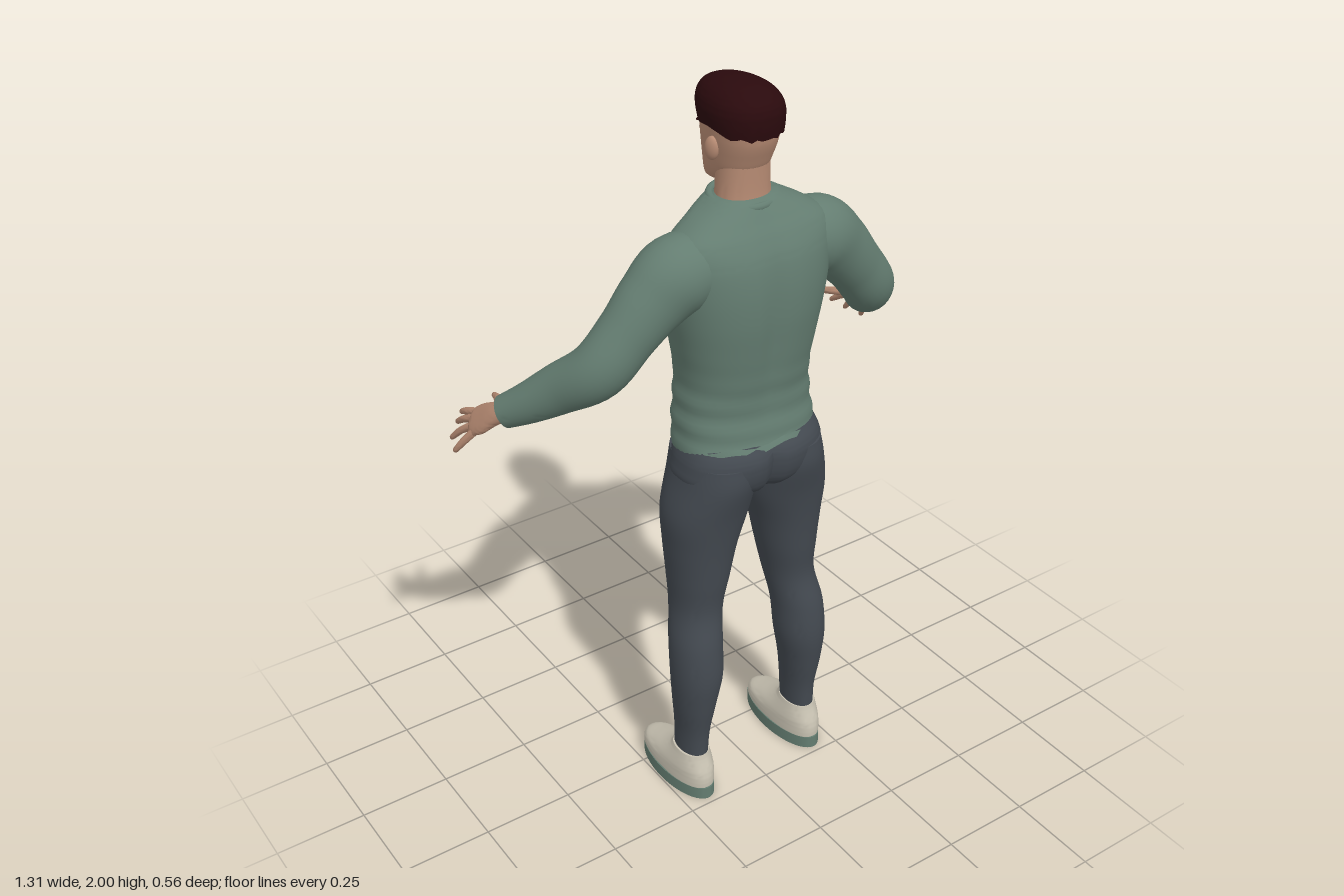
import * as THREE from 'three';
import { toCreasedNormals } from 'three/addons/utils/BufferGeometryUtils.js';

const mat = (name, color) => Object.assign(new THREE.MeshStandardMaterial({ color }), { name });
const bell = (v, w) => Math.exp(-((v / w) ** 2));

// Smooth interpolation through rows of numbers, t from 0 to 1
function sample(rows, t) {
  const f = t * (rows.length - 1), i = Math.min(Math.floor(f), rows.length - 2), u = f - i;
  const at = k => rows[Math.max(0, Math.min(rows.length - 1, k))];
  return rows[i].map((b, k) => {
    const a = at(i - 1)[k], c = at(i + 1)[k], d = at(i + 2)[k];
    return b + 0.5 * u * (c - a + u * (2 * a - 5 * b + 4 * c - d + u * (3 * (b - c) + d - a)));
  });
}

// Closed skin over a list of rings, with flat caps
function skin(rings) {
  const n = rings[0].length, m = rings.length, pos = [], idx = [];
  rings.forEach(r => r.forEach(p => pos.push(p.x, p.y, p.z)));
  for (let j = 0; j < m - 1; j++) for (let i = 0; i < n; i++) {
    const a = j * n + i, b = j * n + (i + 1) % n;
    idx.push(a, a + n, b, b, a + n, b + n);
  }
  [0, m - 1].forEach((j, end) => {
    const c = rings[j].reduce((s, p) => s.add(p), new THREE.Vector3()).divideScalar(n);
    pos.push(c.x, c.y, c.z);
    for (let i = 0; i < n; i++) {
      const a = j * n + i, b = j * n + (i + 1) % n;
      idx.push(m * n + end, end ? b : a, end ? a : b);
    }
  });
  const g = new THREE.BufferGeometry();
  g.setAttribute('position', new THREE.Float32BufferAttribute(pos, 3));
  g.setIndex(idx);
  return toCreasedNormals(g, 1.0);
}

// Upright form from rows of [y, centre x, front z, back z, half width]
function stack(rows, { p = 2.2, n = 40, steps = 6, bend } = {}) {
  const rings = [], m = (rows.length - 1) * steps;
  for (let j = 0; j <= m; j++) {
    const [y, cx, zf, zb, rx] = sample(rows, j / m), ring = [];
    for (let i = 0; i < n; i++) {
      const a = i / n * Math.PI * 2, c = Math.cos(a), s = Math.sin(a);
      const v = new THREE.Vector3(cx + rx * Math.sign(c) * Math.abs(c) ** (2 / p), y,
        (zf + zb) / 2 + (zb - zf) / 2 * Math.sign(s) * Math.abs(s) ** (2 / p));
      if (bend) bend(v, s, j / m);
      ring.push(v);
    }
    rings.push(ring);
  }
  return skin(rings);
}

// Limb along rows of [x, y, z, radius along ref, other radius]
function limb(rows, side, ref, n = 20, steps = 6) {
  const rings = [], m = (rows.length - 1) * steps, R = new THREE.Vector3(ref[0] * side, ref[1], ref[2]);
  const point = t => { const q = sample(rows, t); return new THREE.Vector3(q[0] * side, q[1], q[2]); };
  for (let j = 0; j <= m; j++) {
    const t = j / m, q = sample(rows, t), c = point(t);
    const T = point(Math.min(1, t + 0.01)).sub(point(Math.max(0, t - 0.01))).normalize();
    const U = R.clone().addScaledVector(T, -R.dot(T)).normalize(), V = U.clone().cross(T);
    rings.push(Array.from({ length: n }, (_, i) => {
      const a = i / n * Math.PI * 2;
      return c.clone().addScaledVector(U, Math.cos(a) * q[3]).addScaledVector(V, Math.sin(a) * q[4]);
    }));
  }
  return skin(rings);
}

export function createModel() {
  const model = new THREE.Group();
  const green = mat('sageGreen', 0x647d71), slate = mat('slateTrousers', 0x434950), skinTone = mat('skin', 0xb88c74),
    hairCol = mat('darkHair', 0x2a0a0d), cream = mat('creamShoe', 0xc8c2b2), white = mat('eyeWhite', 0xd8d0c8),
    dark = mat('iris', 0x2b211e), lipCol = mat('lips', 0xa06f60);
  const add = (name, geo, m, parent = model) => {
    const o = new THREE.Mesh(geo, m);
    o.name = name;
    parent.add(o);
    return o;
  };
  const blob = (name, m, parent, x, y, z, sx, sy, sz) => {
    const o = add(name, new THREE.SphereGeometry(1, 20, 14), m, parent);
    o.position.set(x, y, z);
    o.scale.set(sx, sy, sz);
    return o;
  };

  // Sweater body with chest, spine groove and folds at the waist
  add('sweaterBody', stack([
    [1.083, 0, -0.008, 0.258, 0.192], [1.12, 0, -0.014, 0.246, 0.19], [1.2, 0, -0.015, 0.236, 0.182],
    [1.28, 0, -0.018, 0.245, 0.178], [1.37, 0, -0.022, 0.258, 0.192], [1.45, 0, -0.027, 0.267, 0.207],
    [1.53, 0, -0.015, 0.267, 0.218], [1.6, 0, 0.012, 0.256, 0.222], [1.65, 0, 0.035, 0.234, 0.212],
    [1.685, 0, 0.04, 0.21, 0.165], [1.71, 0, 0.035, 0.192, 0.118], [1.728, 0, 0.04, 0.178, 0.085]], {
    n: 56, p: 2.35, bend: (v, s) => {
      if (s > 0) v.z -= 0.014 * bell(v.x, 0.028) * bell(v.y - 1.45, 0.22);
      else v.z -= 0.01 * bell(Math.abs(v.x) - 0.085, 0.055) * bell(v.y - 1.46, 0.07);
      const fold = 1 + 0.016 * Math.sin(v.y * 95 + v.x * 9) * bell(v.y - 1.17, 0.1);
      v.x *= fold;
      v.z = 0.115 + (v.z - 0.115) * fold;
      if (v.y < 1.1) v.y += 0.006 * Math.sin(v.x * 40) + (s > 0 ? 0.012 * s : 0);
    } }), green);
  const collar = add('collar', new THREE.TorusGeometry(0.08, 0.011, 10, 36), green);
  collar.rotation.x = Math.PI / 2 + 0.1;
  collar.scale.set(1, 0.92, 1);
  collar.position.set(0, 1.718, 0.108);

  // Hips with a cleft at the back
  add('hips', stack([
    [0.935, 0, 0.07, 0.19, 0.025], [0.965, 0, 0.025, 0.24, 0.11], [1.0, 0, 0.002, 0.264, 0.2],
    [1.05, 0, 0, 0.274, 0.202], [1.085, 0, 0.001, 0.266, 0.193], [1.12, 0, 0.005, 0.235, 0.18]], {
    p: 2.4, n: 56, bend: (v, s) => { if (s > 0) v.z -= 0.022 * bell(v.x, 0.022); } }), slate);

  for (const s of [1, -1]) {
    const part = n => (s > 0 ? 'left' : 'right') + n;
    // Leg
    add(part('TrouserLeg'), stack([
      [0.1, 0.183, 0.085, 0.202, 0.038], [0.2, 0.18, 0.085, 0.206, 0.041], [0.3, 0.178, 0.085, 0.223, 0.054],
      [0.4, 0.172, 0.08, 0.235, 0.067], [0.5, 0.167, 0.068, 0.226, 0.068], [0.6, 0.151, 0.044, 0.204, 0.067],
      [0.7, 0.142, 0.03, 0.213, 0.08], [0.8, 0.135, 0.02, 0.224, 0.095], [0.9, 0.123, 0.011, 0.241, 0.112],
      [1.0, 0.106, 0.003, 0.265, 0.104], [1.06, 0.1, 0.003, 0.262, 0.097]]
      .map(r => [r[0], r[1] * s, ...r.slice(2)]), { p: 2.1 }), slate);

    // Shoe with a sole rim open underneath
    const shoe = new THREE.Group();
    shoe.name = part('Shoe');
    shoe.position.x = 0.183 * s;
    model.add(shoe);
    add('shoeUpper', stack([
      [0.01, 0, -0.06, 0.222, 0.056], [0.036, 0, -0.067, 0.228, 0.06], [0.06, 0, -0.058, 0.228, 0.06],
      [0.08, 0, -0.01, 0.224, 0.058], [0.1, 0, 0.038, 0.216, 0.053], [0.12, 0, 0.074, 0.208, 0.047],
      [0.135, 0, 0.086, 0.204, 0.043]], { steps: 4 }), cream, shoe);
    const outline = new THREE.Shape().absellipse(0, 0, 0.063, 0.151, 0, Math.PI * 2);
    outline.holes.push(new THREE.Path().absellipse(0, 0, 0.046, 0.13, 0, Math.PI * 2, true));
    const sole = add('soleRim', toCreasedNormals(
      new THREE.ExtrudeGeometry(outline, { depth: 0.037, bevelEnabled: false, curveSegments: 36 }), 0.7), green, shoe);
    sole.rotation.x = -Math.PI / 2;
    sole.position.z = 0.081;

    // Sleeve
    add(part('Sleeve'), limb([
      [0.1, 1.585, 0.14, 0.08, 0.08], [0.2, 1.575, 0.135, 0.092, 0.098], [0.27, 1.525, 0.13, 0.078, 0.088],
      [0.335, 1.455, 0.122, 0.07, 0.076], [0.405, 1.37, 0.1, 0.069, 0.073], [0.465, 1.305, 0.025, 0.06, 0.064],
      [0.52, 1.255, -0.035, 0.05, 0.052], [0.563, 1.22, -0.085, 0.042, 0.042]], s, [0, 0.25, 1], 28), green);

    // Hand with fanned fingers
    const hand = new THREE.Group();
    hand.name = part('Hand');
    model.add(hand);
    const across = [0.51, -0.51, 0.68];
    add('palm', limb([
      [0.548, 1.232, -0.065, 0.028, 0.025], [0.572, 1.207, -0.108, 0.031, 0.021],
      [0.588, 1.177, -0.15, 0.041, 0.018], [0.599, 1.157, -0.183, 0.038, 0.013],
      [0.602, 1.152, -0.192, 0.028, 0.007]], s, across), skinTone, hand);
    const digits = {
      indexFinger: [[0.583, 1.172, -0.195], [0.589, 1.156, -0.238], [0.588, 1.138, -0.272]],
      middleFinger: [[0.593, 1.162, -0.185], [0.6, 1.139, -0.234], [0.599, 1.11, -0.277]],
      ringFinger: [[0.603, 1.152, -0.173], [0.619, 1.122, -0.216], [0.629, 1.087, -0.252]],
      littleFinger: [[0.612, 1.143, -0.16], [0.633, 1.11, -0.182], [0.647, 1.08, -0.202]],
      thumb: [[0.566, 1.205, -0.122], [0.531, 1.197, -0.175], [0.514, 1.181, -0.232]] };
    for (const [name, [a, b, c]] of Object.entries(digits)) {
      const k = name === 'thumb' ? 1.25 : 1, tip = c.map((v, i) => v + (c[i] - b[i]) * 0.1);
      add(name, limb([[...a, 0.011 * k, 0.011 * k], [...b, 0.0095 * k, 0.0095 * k], [...c, 0.007, 0.007],
        [...tip, 0.002, 0.002]], s, across, 12, 4), skinTone, hand);
    }
  }

  // Head, tapering towards the face
  const head = new THREE.Group();
  head.name = 'head';
  model.add(head);
  const egg = (v, s) => { v.x *= 1 + 0.13 * s; };
  add('neck', stack([[1.67, 0, 0.05, 0.175, 0.078], [1.73, 0, 0.052, 0.168, 0.068], [1.84, 0, 0.05, 0.172, 0.062]]),
    skinTone, head);
  add('skull', stack([
    [1.742, 0, -0.01, 0.05, 0.03], [1.752, 0, -0.018, 0.09, 0.046], [1.785, 0, -0.018, 0.155, 0.063],
    [1.83, 0, -0.02, 0.182, 0.072], [1.88, 0, -0.023, 0.2, 0.078], [1.93, 0, -0.018, 0.2, 0.079],
    [1.965, 0, 0.01, 0.17, 0.06]], { bend: egg }), skinTone, head);
  add('hair', stack([
    [1.896, 0, -0.026, 0.208, 0.086], [1.93, 0, -0.034, 0.212, 0.089], [1.958, 0, -0.03, 0.204, 0.083],
    [1.98, 0, -0.01, 0.18, 0.066], [1.994, 0, 0.03, 0.148, 0.04], [2.0, 0, 0.075, 0.11, 0.01]], {
    n: 48, bend: (v, s, t) => {
      egg(v, s);
      if (t < 0.15) v.y += 0.004 * Math.sin(v.x * 190) - 0.013 * Math.max(0, s);
    } }), hairCol, head);
  add('nose', stack([
    [1.803, 0, -0.022, 0.02, 0.013], [1.812, 0, -0.043, 0.02, 0.017], [1.825, 0, -0.043, 0.02, 0.013],
    [1.85, 0, -0.031, 0.02, 0.009], [1.875, 0, -0.022, 0.02, 0.008]], { n: 20, p: 2, steps: 4 }), skinTone, head);
  blob('upperLip', lipCol, head, 0, 1.784, -0.016, 0.022, 0.004, 0.007);
  blob('lowerLip', lipCol, head, 0, 1.777, -0.016, 0.019, 0.005, 0.007);
  blob('chin', skinTone, head, 0, 1.757, -0.006, 0.026, 0.014, 0.016);

  for (const s of [1, -1]) {
    blob('ear', skinTone, head, 0.079 * s, 1.846, 0.098, 0.013, 0.03, 0.02).rotation.set(0.15, -0.3 * s, 0);
    blob('eye', white, head, 0.031 * s, 1.858, -0.003, 0.013, 0.0065, 0.01);
    blob('iris', dark, head, 0.031 * s, 1.858, -0.011, 0.005, 0.005, 0.003);
    blob('eyebrow', hairCol, head, 0.034 * s, 1.879, -0.009, 0.02, 0.004, 0.006).rotation.set(0, -0.3 * s, -0.1 * s);
  }
  return model;
}
